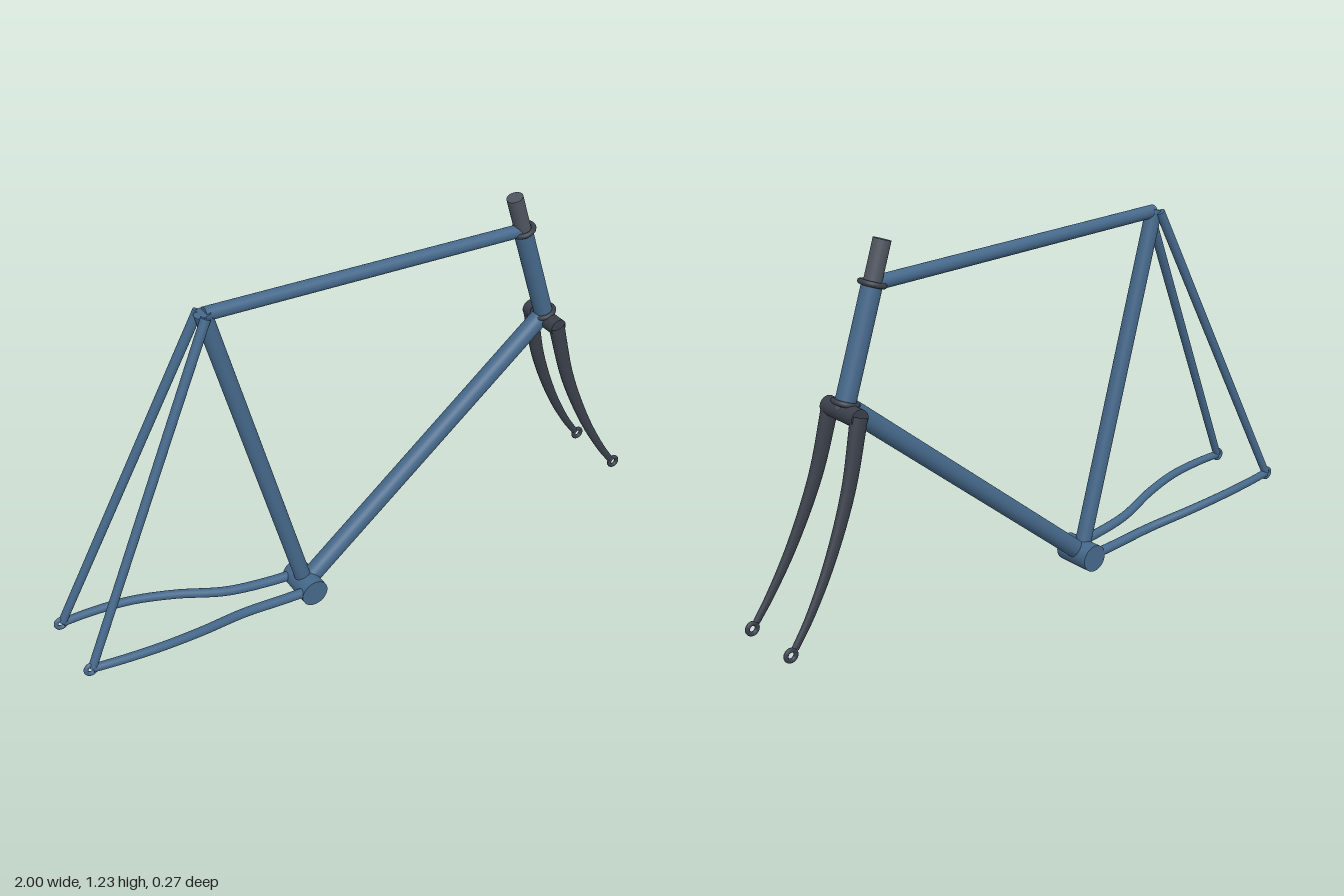
import * as THREE from 'three';

const paint = new THREE.MeshStandardMaterial({ color: 0x45688a });
const dark = new THREE.MeshStandardMaterial({ color: 0x3a3f4a });
const steel = new THREE.MeshStandardMaterial({ color: 0x4f5560 });
const V = (x, y, z = 0) => new THREE.Vector3(x, y, z);
const UP = V(0, 1, 0);

export function createModel() {
  const model = new THREE.Group();
  model.name = 'bicycleFrame';

  const add = (name, geometry, material) => {
    const mesh = new THREE.Mesh(geometry, material);
    mesh.name = name;
    model.add(mesh);
    return mesh;
  };

  // Straight round tube between two points
  const tube = (name, a, b, r, material = paint, rEnd = r) => {
    const dir = b.clone().sub(a);
    const mesh = add(name, new THREE.CylinderGeometry(rEnd, r, dir.length(), 32), material);
    mesh.position.copy(a).add(b).multiplyScalar(0.5);
    mesh.quaternion.setFromUnitVectors(UP, dir.normalize());
    return mesh;
  };

  // Curved tube tapering from r0 to r1, flattened across z by the factor flat
  const sweep = (name, points, r0, r1, flat, material) => {
    const curve = new THREE.CatmullRomCurve3(points);
    const steps = 48, sides = 20;
    const geo = new THREE.TubeGeometry(curve, steps, 1, sides, false);
    const pos = geo.attributes.position, p = V(0, 0);
    for (let i = 0; i < pos.count; i++) {
      const t = Math.floor(i / (sides + 1)) / steps;
      const c = curve.getPointAt(t);
      const r = r0 + (r1 - r0) * t;
      p.fromBufferAttribute(pos, i).sub(c).multiplyScalar(r);
      p.z *= flat;
      p.add(c);
      pos.setXYZ(i, p.x, p.y, p.z);
    }
    geo.computeVertexNormals();
    return add(name, geo, material);
  };

  // Main triangle
  const bottom = V(-0.197, 0.046), seat = V(-0.495, 1.145);
  const headTop = V(0.589, 1.105), headLow = V(0.694, 0.785);
  tube('bottomBracketShell', V(-0.197, 0.046, -0.066), V(-0.197, 0.046, 0.066), 0.045);
  tube('seatTube', bottom, seat, 0.026);
  tube('topTube', V(-0.49, 1.139), V(0.588, 1.104), 0.021);
  tube('downTube', bottom, V(0.68, 0.765), 0.03);
  tube('headTube', headLow, headTop, 0.03);

  // Steerer and headset rings
  tube('steererTube', V(0.70, 0.765), V(0.551, 1.223), 0.026, steel);
  const axis = headTop.clone().sub(headLow).normalize();
  for (const [name, at] of [['upperHeadsetRing', headTop], ['lowerHeadsetRing', headLow]]) {
    const ring = add(name, new THREE.TorusGeometry(0.034, 0.008, 12, 40), dark);
    ring.position.copy(at);
    ring.quaternion.setFromUnitVectors(V(0, 0, 1), axis);
  }

  // Fork crown
  tube('forkCrown', V(0.7, 0.76, -0.077), V(0.7, 0.76, 0.077), 0.028, dark);

  // Mirrored stays, fork blades and dropouts
  for (const [side, s] of [['Front', 1], ['Rear', -1]]) {
    tube('seatStay' + side, V(-0.972, 0.15, s * 0.115), V(-0.497, 1.14, s * 0.025), 0.013, paint, 0.015);
    sweep('chainStay' + side, [
      V(-0.2, 0.05, s * 0.048), V(-0.3, 0.057, s * 0.05), V(-0.45, 0.076, s * 0.06),
      V(-0.61, 0.107, s * 0.098), V(-0.75, 0.129, s * 0.119), V(-0.88, 0.141, s * 0.121),
      V(-0.972, 0.147, s * 0.115),
    ], 0.016, 0.013, 1, paint);
    sweep('forkBlade' + side, [
      V(0.697, 0.765, s * 0.069), V(0.752, 0.56, s * 0.08), V(0.835, 0.365, s * 0.091),
      V(0.912, 0.23, s * 0.098), V(0.96, 0.162, s * 0.1),
    ], 0.027, 0.011, 0.75, dark);
    for (const [name, x, z, m] of [['rearDropout', -0.977, 0.115, paint], ['forkDropout', 0.975, 0.1, dark]]) {
      const eye = add(name + side, new THREE.TorusGeometry(0.016, 0.007, 12, 28), m);
      eye.position.set(x, 0.146, s * z);
    }
  }
  return model;
}
